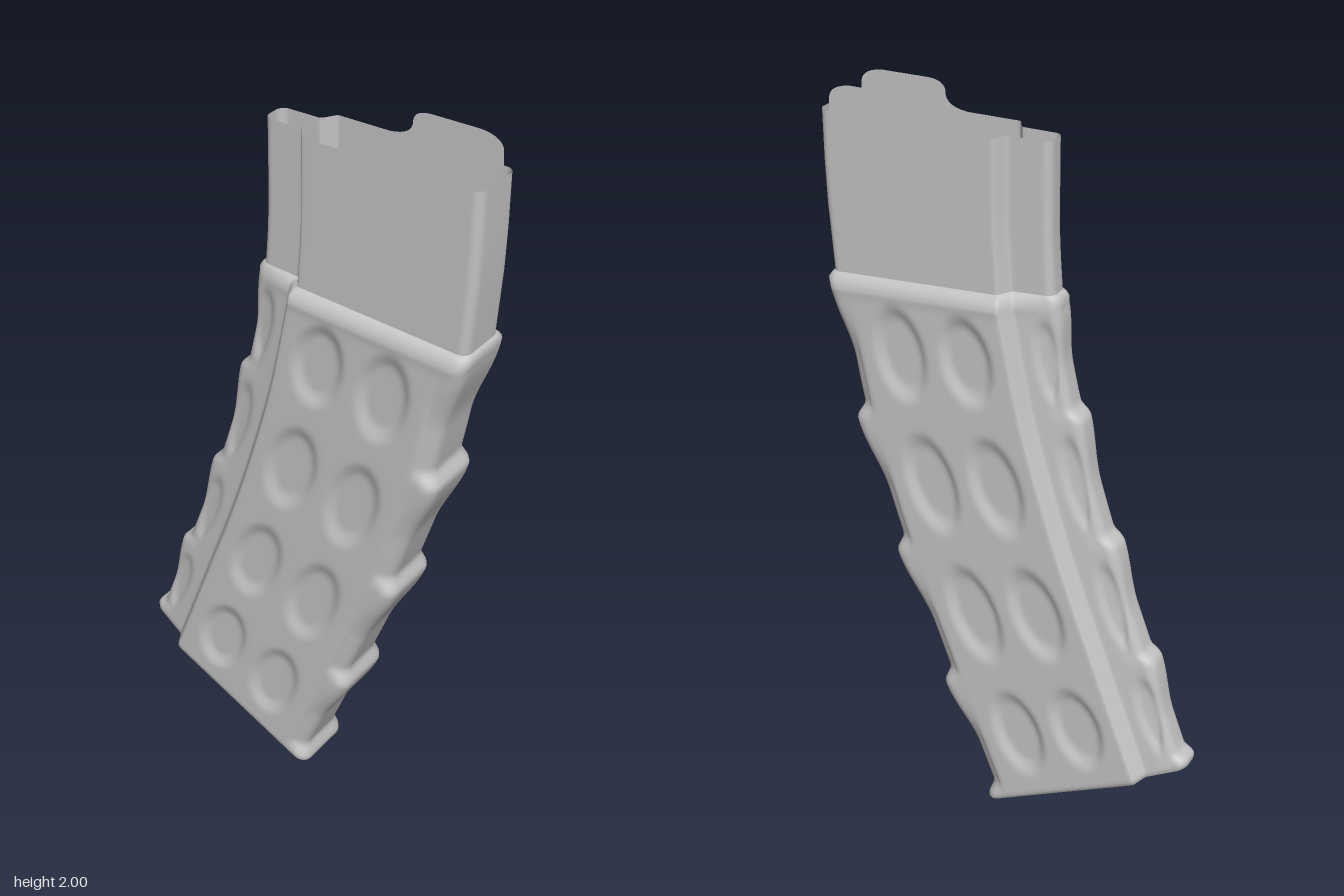
import * as THREE from 'three';

const { smoothstep, lerp } = THREE.MathUtils;
const SIDE_STEPS = 48, SEG_ROWS = 32;

// Half cross-section as [u, x]; u runs 0 (front) to 1 (back), ending on the narrow spine.
function halfProfile(half, spine, tip, r) {
  const pts = [[0, 0], [0, half * 0.35]], len = 0.63;
  for (let i = 0; i <= 6; i++) {
    const a = (i / 6) * Math.PI / 2;
    pts.push([r * (1 - Math.cos(a)) / len, half - r + r * Math.sin(a)]);
  }
  const u0 = r / len;
  for (let i = 1; i <= SIDE_STEPS; i++) pts.push([lerp(u0, 0.775, i / SIDE_STEPS), half]);
  for (let i = 1; i <= 8; i++) {
    const k = i / 8;
    pts.push([lerp(0.775, 0.825, k), lerp(half, spine, smoothstep(k, 0, 1))]);
  }
  const rr = tip * 0.65, u1 = 1 - rr / len;
  for (let i = 1; i <= 8; i++) pts.push([lerp(0.825, u1, i / 8), lerp(spine, tip, i / 8)]);
  for (let i = 1; i <= 6; i++) {
    const a = (i / 6) * Math.PI / 2;
    pts.push([u1 + rr * Math.sin(a) / len, tip - rr + rr * Math.cos(a)]);
  }
  pts.push([1, 0]);
  return pts;
}

const lowerProfile = halfProfile(0.097, 0.057, 0.044, 0.035);
const upperProfile = halfProfile(0.073, 0.036, 0.035, 0.025);

// Oval hollow, 0 outside and 1 in its middle
function oval(u, f, uc, ru) {
  const e = Math.hypot((u - uc) / ru, (f - 0.46) / 0.41);
  return 1 - smoothstep(e, 0.6, 1);
}

// One closed ring of points. F and B are [z, y] of the front and back ends.
function ring({ F, B, w = 0, sx = 1, f = 0 }) {
  const dz = B[0] - F[0], dy = B[1] - F[1], len = Math.hypot(dz, dy);
  const scallop = smoothstep(f, 0, 0.55) * (1 - smoothstep(f, 0.88, 1));
  const half = lowerProfile.map((p, i) => {
    const u = lerp(p[0], upperProfile[i][0], w);
    let x = lerp(p[1], upperProfile[i][1], w) * sx;
    const nearFront = 1 - smoothstep(u, 0.03, 0.13);
    const nearBack = smoothstep(u, 0.87, 0.97);
    const shift = scallop * (0.028 * nearFront - 0.02 * nearBack) / len;
    const hollow = 0.014 * (oval(u, f, 0.3, 0.125) + oval(u, f, 0.6, 0.125))
      + 0.009 * oval(u, f, 0.93, 0.065) + 0.012 * scallop * nearFront;
    x = Math.max(0, x - hollow * Math.min(1, x / 0.04));
    const k = u + shift;
    return [x, F[1] + dy * k, F[0] + dz * k];
  });
  const mirrored = half.slice(1, -1).reverse().map(([x, y, z]) => [-x, y, z]);
  return half.concat(mirrored);
}

// Skin a stack of rings listed from top to bottom
function loft(rows) {
  const rings = rows.map(ring), n = rings[0].length, index = [];
  for (let r = 0; r < rings.length - 1; r++) {
    for (let i = 0; i < n; i++) {
      const j = (i + 1) % n, a = r * n, b = a + n;
      index.push(a + i, b + i, a + j, a + j, b + i, b + j);
    }
  }
  const g = new THREE.BufferGeometry();
  g.setAttribute('position', new THREE.Float32BufferAttribute(rings.flat(2), 3));
  g.setIndex(index);
  g.computeVertexNormals();
  return g;
}

// Smooth edge line through the ridge points, given as [z, y]
function edge(points) {
  const c = new THREE.CatmullRomCurve3(points.map(([z, y]) => new THREE.Vector3(0, y, z)), false, 'catmullrom', 0.5);
  return t => { const p = c.getPoint(t); return [p.z, p.y]; };
}

export function createModel() {
  const group = new THREE.Group();
  const grey = new THREE.MeshStandardMaterial({ color: 0xc3c3c3, side: THREE.DoubleSide });
  grey.name = 'lightGrey';
  const add = (name, geometry) => {
    const m = new THREE.Mesh(geometry, grey);
    m.name = name;
    group.add(m);
    return m;
  };

  // Curved body: shoulder, four scalloped segments, rounded foot
  const front = edge([[0.505, 1.478], [0.442, 1.115], [0.334, 0.74], [0.195, 0.357], [0.062, 0.012]]);
  const back = edge([[-0.121, 1.515], [-0.186, 1.225], [-0.288, 0.89], [-0.404, 0.575], [-0.509, 0.292]]);
  const shoulder = { F: [0.499, 1.513], B: [-0.105, 1.548], w: 1 };
  const foot = { F: [0.05, 0.001], B: [-0.503, 0.272], sx: 0.87 };
  const body = [
    shoulder,
    { F: [0.504, 1.508], B: [-0.114, 1.543], w: 0.6 },
    { F: [0.51, 1.498], B: [-0.121, 1.532], w: 0.12 },
  ];
  const total = SEG_ROWS * 4;
  for (let i = 0; i <= total; i++) {
    const t = i / total;
    body.push({ F: front(t), B: back(t), f: (i % SEG_ROWS) / SEG_ROWS, sx: 1 + 0.025 * (1 - smoothstep(t, 0, 0.02)) });
  }
  body.push({ F: [0.057, 0.004], B: [-0.509, 0.279], sx: 0.96 }, foot);
  add('body', loft(body));

  // Flat bottom, closing the foot along its centre line
  add('basePlate', loft([foot, { ...foot, sx: 0 }]));

  // Straight upper sleeve, open at the top
  add('upperSleeve', loft([
    { F: [0.514, 1.93], B: [-0.095, 1.93], w: 1 },
    { F: [0.514, 1.8], B: [-0.095, 1.81], w: 1 },
    { F: [0.511, 1.69], B: [-0.095, 1.71], w: 1 },
    { F: [0.505, 1.6], B: [-0.099, 1.63], w: 1 },
    shoulder,
  ]));

  // Raised lips on the two side walls
  const lip = new THREE.Shape();
  lip.moveTo(0.482, 1.93);
  lip.lineTo(0.48, 1.965);
  lip.quadraticCurveTo(0.475, 1.995, 0.42, 2);
  lip.lineTo(0.29, 2);
  lip.quadraticCurveTo(0.243, 1.998, 0.243, 1.97);
  lip.quadraticCurveTo(0.243, 1.935, 0.18, 1.93);
  for (const side of [1, -1]) {
    const g = new THREE.ShapeGeometry(lip);
    g.rotateY(-Math.PI / 2);
    add(side > 0 ? 'leftLip' : 'rightLip', g).position.x = side * 0.073;
  }
  return group;
}
